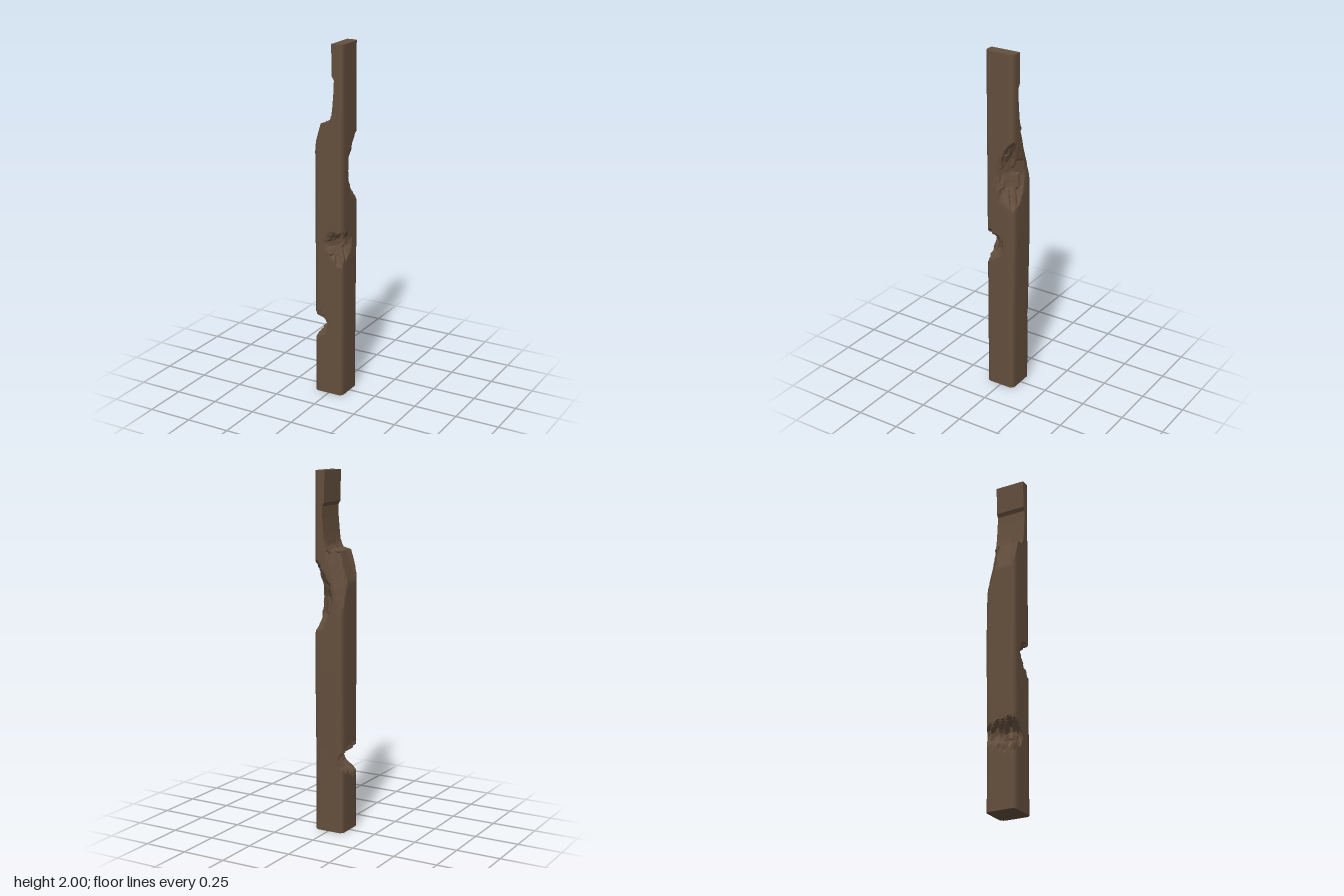
import * as THREE from 'three';
import { toCreasedNormals } from 'three/addons/utils/BufferGeometryUtils.js';

const HALF = 0.088, RADIUS = 0.026;

// Repeatable noise in -1..1
const noise = (a, b) => {
  const s = Math.sin(a * 127.1 + b * 311.7) * 43758.5453;
  return (s - Math.floor(s)) * 2 - 1;
};

// Linear interpolation through [y, value] points
function sample(points, y) {
  if (y <= points[0][0]) return points[0][1];
  for (let i = 1; i < points.length; i++) {
    const [y0, v0] = points[i - 1], [y1, v1] = points[i];
    if (y <= y1) return v0 + (v1 - v0) * (y - y0) / (y1 - y0);
  }
  return points[points.length - 1][1];
}

// Gouges: outward direction and how far the wood still reaches along it
const gouges = [
  { nx: 0.707, nz: 0.707, reach: [[0.77, 0.13], [0.8, 0.1], [0.83, 0.07], [0.88, 0.05], [0.93, 0.053], [0.96, 0.075], [0.98, 0.13]] },
  { nx: -0.95, nz: 0.32, reach: [[0.29, 0.13], [0.34, 0.085], [0.37, 0.05], [0.42, 0.03], [0.455, 0.038], [0.475, 0.075], [0.5, 0.13]] },
  { nx: 0.707, nz: -0.707, reach: [[1.1, 0.13], [1.15, 0.09], [1.22, 0.055], [1.32, 0.042], [1.4, 0.053], [1.46, 0.078], [1.49, 0.095], [1.53, 0.13]] },
  { nx: -0.707, nz: -0.707, smooth: true, reach: [[1.23, 0.13], [1.26, 0.116], [1.45, 0.075], [1.57, 0.05], [1.6, 0.13]] },
];

// Left limit of the wood where the top has split away
const split = [[1.4, -0.1], [1.41, -0.088], [1.5, -0.062], [1.57, -0.04], [1.58, 0.005], [1.6, 0.018],
  [1.66, 0.026], [1.75, 0.034], [1.81, 0.036], [1.83, 0.023], [2, 0.02]];

// Rounded-square outline
function outline() {
  const pts = [], c = HALF - RADIUS;
  const corners = [[1, 1], [-1, 1], [-1, -1], [1, -1]];
  corners.forEach(([sx, sz], k) => {
    for (let i = 0; i <= 4; i++) {
      const a = (k + i / 4) * Math.PI / 2;
      pts.push([sx * c + Math.cos(a) * RADIUS, sz * c + Math.sin(a) * RADIUS]);
    }
    const [nx, nz] = corners[(k + 1) % 4];
    const a = (k + 1) * Math.PI / 2;
    for (let i = 1; i < 8; i++) {
      const t = i / 8;
      pts.push([(sx + (nx - sx) * t) * c + Math.cos(a) * RADIUS, (sz + (nz - sz) * t) * c + Math.sin(a) * RADIUS]);
    }
  });
  return pts;
}

// Stacked outlines, pushed inward by each gouge and by the split
function postGeometry() {
  const base = outline(), n = base.length, rows = 200;
  const pos = [], idx = [];
  for (let i = 0; i <= rows; i++) {
    const y = i / rows * 2;
    const bulge = 0.004 * Math.exp(-(((y - 1) / 0.4) ** 2));
    base.forEach(([bx, bz], j) => {
      let x = bx - 0.002, z = bz + 0.004;
      if (z < 0) z -= bulge * 2;
      gouges.forEach((g, k) => {
        const rough = g.smooth ? 0.2 : 1;
        const lim = sample(g.reach, y + rough * 0.02 * noise(j, k))
          + rough * 0.005 * noise(j >> 1, Math.floor(i / 4) + k);
        const over = x * g.nx + z * g.nz - lim;
        if (over > 0) {
          x = THREE.MathUtils.clamp(x - over * g.nx, -0.09, 0.086);
          z = THREE.MathUtils.clamp(z - over * g.nz, -0.09, 0.092);
        }
      });
      const ragged = y > 1.42 && y < 1.62 ? 0.006 * noise(j >> 2, 9) : 0;
      x = Math.max(x, sample(split, y) + ragged);
      pos.push(x, y, z);
    });
  }
  for (let i = 0; i < rows; i++) {
    for (let j = 0; j < n; j++) {
      const a = i * n + j, b = i * n + (j + 1) % n;
      idx.push(a, a + n, b, b, a + n, b + n);
    }
  }
  // End caps
  const bottom = pos.length / 3, top = bottom + 1, last = rows * n;
  pos.push(0, 0, 0, 0.05, 2, 0);
  for (let j = 0; j < n; j++) {
    const k = (j + 1) % n;
    idx.push(bottom, j, k, top, last + k, last + j);
  }
  const geo = new THREE.BufferGeometry();
  geo.setAttribute('position', new THREE.Float32BufferAttribute(pos, 3));
  geo.setIndex(idx);
  return toCreasedNormals(geo, 0.5);
}

export function createModel() {
  const wood = new THREE.MeshStandardMaterial({ color: 0x644f3d });
  wood.name = 'weathered brown wood';
  const group = new THREE.Group();
  group.name = 'brokenPost';

  const post = new THREE.Mesh(postGeometry(), wood);
  post.name = 'post';
  group.add(post);

  // Splinters standing in the split: x, z, base height, tip height, width
  [[0.012, 0.035, 1.54, 1.66, 0.013], [0.008, -0.03, 1.53, 1.62, 0.012], [-0.028, 0.06, 1.5, 1.585, 0.014]]
    .forEach(([x, z, y0, y1, r]) => {
      const geo = toCreasedNormals(new THREE.ConeGeometry(r, y1 - y0, 4), 0.3);
      const splinter = new THREE.Mesh(geo, wood);
      splinter.name = 'splinter';
      splinter.scale.z = 1.8;
      splinter.position.set(x, (y0 + y1) / 2, z);
      group.add(splinter);
    });
  return group;
}
